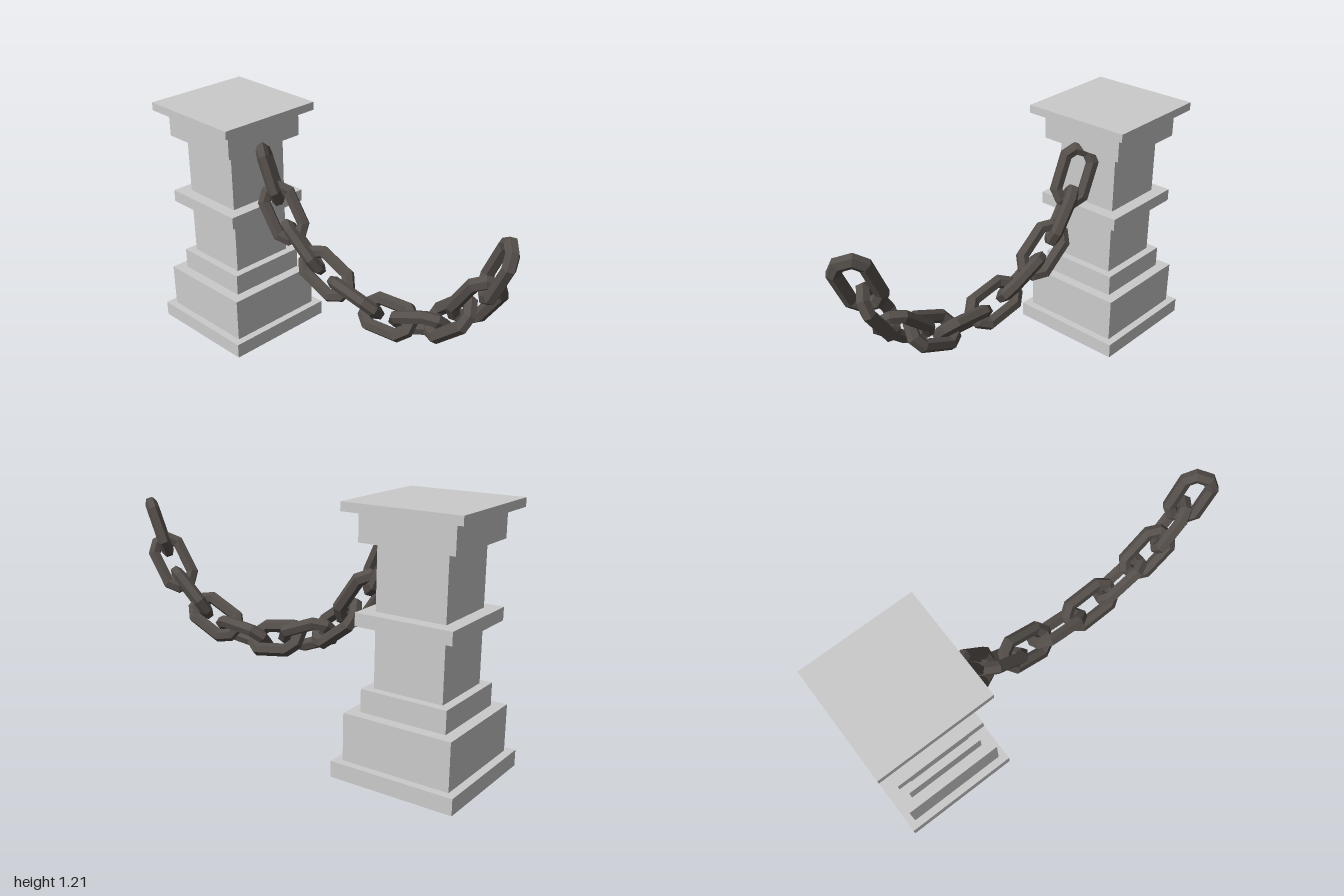
import * as THREE from 'three';

const stone = new THREE.MeshStandardMaterial({ color: 0xcccccc, flatShading: true });
const iron = new THREE.MeshStandardMaterial({ color: 0x554f4b, flatShading: true });

// One link: a hexagonal bar swept around a stretched octagon, with mitred corners
function linkGeometry(halfLength = 0.127, halfWidth = 0.066, radius = 0.031, sides = 6) {
  const straight = 0.085, flat = 0.03;
  const quarter = [[halfLength, flat], [straight, halfWidth]];
  const path = [
    ...quarter,
    ...quarter.map(([x, y]) => [-x, y]).reverse(),
    ...quarter.map(([x, y]) => [-x, -y]),
    ...quarter.map(([x, y]) => [x, -y]).reverse(),
  ].map(([x, y]) => new THREE.Vector2(x, y));
  const count = path.length;
  const positions = [], index = [];
  for (let i = 0; i < count; i++) {
    const before = path[i].clone().sub(path[(i + count - 1) % count]).normalize();
    const after = path[(i + 1) % count].clone().sub(path[i]).normalize();
    const along = before.clone().add(after).normalize();
    const mitre = 1 / along.dot(after);
    for (let j = 0; j < sides; j++) {
      const a = ((j + 0.5) / sides) * Math.PI * 2;
      const out = Math.cos(a) * radius * mitre;
      positions.push(path[i].x + along.y * out, path[i].y - along.x * out, Math.sin(a) * radius);
      const k = (j + 1) % sides, next = (i + 1) % count;
      const p = i * sides + j, q = next * sides + j, r = next * sides + k, s = i * sides + k;
      index.push(p, q, r, p, r, s);
    }
  }
  const indexed = new THREE.BufferGeometry();
  indexed.setAttribute('position', new THREE.Float32BufferAttribute(positions, 3));
  indexed.setIndex(index);
  const geometry = indexed.toNonIndexed();
  geometry.computeVertexNormals();
  return geometry;
}

function createPillar() {
  const pillar = new THREE.Group();
  pillar.name = 'pillar';
  pillar.position.x = -0.705;
  // name, width, bottom, top
  const blocks = [
    ['plinth', 0.59, 0, 0.075],
    ['base', 0.515, 0.075, 0.295],
    ['baseStep', 0.41, 0.295, 0.4],
    ['shaft', 0.33, 0.4, 1.035],
    ['shaftBand', 0.455, 0.68, 0.74],
    ['capital', 0.443, 1.035, 1.165],
    ['capSlab', 0.55, 1.165, 1.205],
  ];
  for (const [name, width, bottom, top] of blocks) {
    const block = new THREE.Mesh(new THREE.BoxGeometry(width, top - bottom, width), stone);
    block.name = name;
    block.position.y = (bottom + top) / 2;
    pillar.add(block);
  }
  return pillar;
}

function createChain() {
  const chain = new THREE.Group();
  chain.name = 'chain';
  chain.position.z = 0.004;
  // Link centres along the sag, with one extra point at each end for direction
  const centres = [
    [-0.53, 1.11], [-0.447, 0.912], [-0.36, 0.73], [-0.225, 0.595], [-0.07, 0.51], [0.12, 0.458],
    [0.325, 0.445], [0.51, 0.495], [0.67, 0.595], [0.795, 0.735], [0.885, 0.908], [0.96, 1.1],
  ];
  const geometry = linkGeometry();
  for (let i = 1; i < centres.length - 1; i++) {
    const [x0, y0] = centres[i - 1], [x1, y1] = centres[i + 1];
    const along = new THREE.Vector3(x1 - x0, y1 - y0, 0).normalize();
    // Neighbouring links are rolled 45 degrees to opposite sides
    const roll = i % 2 ? -1 : 1;
    const across = new THREE.Vector3(along.y, -along.x, roll).normalize();
    const normal = along.clone().cross(across);
    const link = new THREE.Mesh(geometry, iron);
    link.name = `chainLink${i}`;
    link.quaternion.setFromRotationMatrix(new THREE.Matrix4().makeBasis(along, across, normal));
    link.position.set(centres[i][0], centres[i][1], 0);
    chain.add(link);
  }
  return chain;
}

export function createModel() {
  const model = new THREE.Group();
  model.name = 'pillarWithChain';
  model.add(createPillar(), createChain());
  return model;
}
